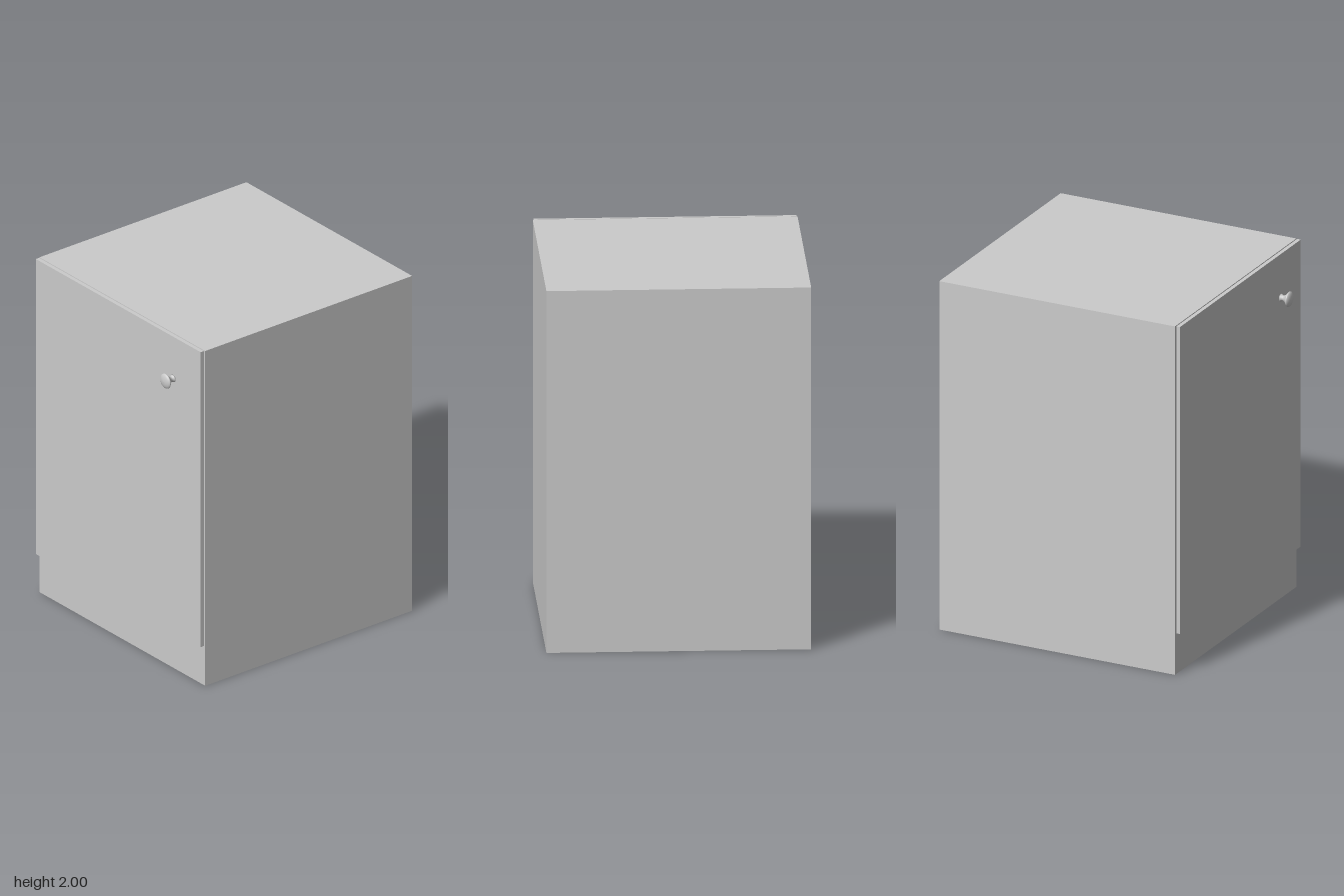
import * as THREE from 'three';

export function createModel() {
  const group = new THREE.Group();
  const material = new THREE.MeshStandardMaterial({ color: 0xcccccc });

  // Box given by its lower and upper corners
  function addBox(name, min, max) {
    const size = max.map((v, i) => v - min[i]);
    const mesh = new THREE.Mesh(new THREE.BoxGeometry(...size), material);
    mesh.position.set(...max.map((v, i) => (v + min[i]) / 2));
    mesh.name = name;
    group.add(mesh);
  }

  addBox('cabinetBody', [-0.706, 0, -0.753], [0.706, 2, 0.659]);
  addBox('door', [-0.702, 0.238, 0.665], [0.702, 2, 0.687]);

  // Turned knob: flared foot, narrow neck, wide head with a shallow dome
  const profile = [
    [0, 0], [0.021, 0], [0.02, 0.005], [0.016, 0.011], [0.015, 0.017], [0.017, 0.024],
    [0.024, 0.034], [0.035, 0.044], [0.041, 0.049], [0.042, 0.052], [0.04, 0.056],
    [0.031, 0.061], [0.017, 0.065], [0, 0.066],
  ].map(([r, h]) => new THREE.Vector2(r, h));
  const knob = new THREE.Mesh(new THREE.LatheGeometry(profile, 40), material);
  knob.rotation.x = Math.PI / 2;
  knob.position.set(0.468, 1.751, 0.687);
  knob.name = 'knob';
  group.add(knob);

  return group;
}
